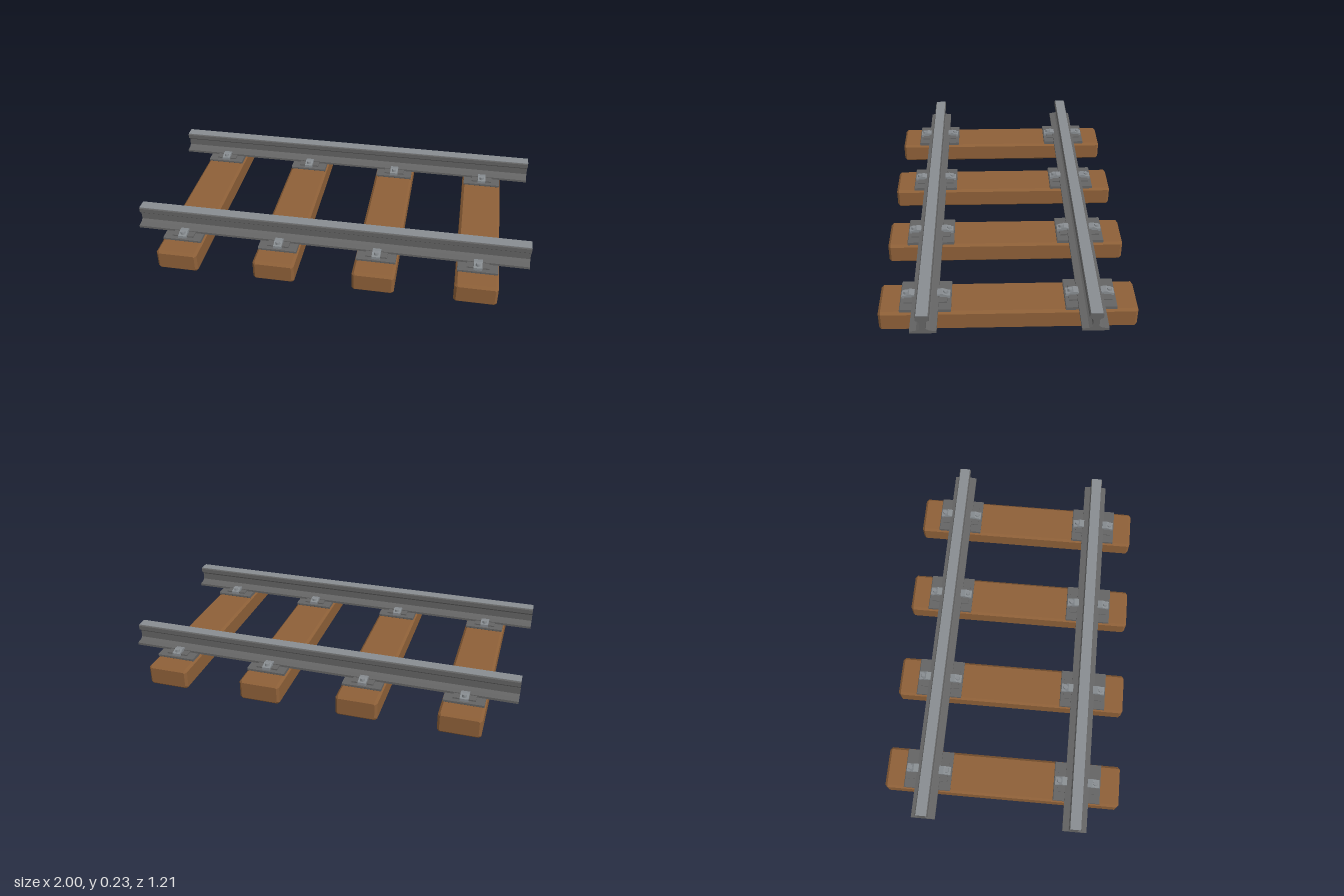
import * as THREE from 'three';

const mat = (name, color) => new THREE.MeshStandardMaterial({ name, color });

// Extrude a closed (z, y) outline along x, centred on x = 0
function extrudeAlongX(points, length, bevel = 0) {
  const shape = new THREE.Shape(points.map(([z, y]) => new THREE.Vector2(-z, y)));
  const geo = new THREE.ExtrudeGeometry(shape, {
    depth: length - 2 * bevel, steps: 1, bevelEnabled: bevel > 0,
    bevelThickness: bevel, bevelSize: bevel, bevelOffset: -bevel, bevelSegments: 1,
  });
  geo.translate(0, 0, bevel - length / 2);
  return geo.rotateY(Math.PI / 2);
}

// Rectangle outline with cut corners
function cutRect(halfW, y0, y1, c) {
  return [
    [-halfW + c, y0], [halfW - c, y0], [halfW, y0 + c], [halfW, y1 - c],
    [halfW - c, y1], [-halfW + c, y1], [-halfW, y1 - c], [-halfW, y0 + c],
  ];
}

export function createModel() {
  const wood = mat('wood', 0x8e6038);
  const steel = mat('dark steel', 0x646464);
  const polished = mat('polished steel', 0x888d91);

  const model = new THREE.Group();
  model.name = 'railwayTrack';
  const add = (parent, name, geo, material, x = 0, y = 0, z = 0) => {
    const mesh = new THREE.Mesh(geo, material);
    mesh.name = name;
    mesh.position.set(x, y, z);
    parent.add(mesh);
    return mesh;
  };

  const sleeperX = [-0.75, -0.25, 0.25, 0.75];
  const railZ = 0.385;

  // Chamfered wooden sleepers, running along z
  const sleeperGeo = extrudeAlongX(cutRect(0.105, 0, 0.11, 0.012), 1.21, 0.012).rotateY(Math.PI / 2);
  sleeperX.forEach((x) => add(model, 'sleeper', sleeperGeo, wood, x));

  // Rail section: foot, web and head (right half, mirrored)
  const half = [
    [0.061, 0.124], [0.061, 0.136], [0.03, 0.141], [0.0145, 0.15], [0.0145, 0.186],
    [0.019, 0.194], [0.031, 0.2], [0.031, 0.222], [0.027, 0.227],
  ];
  const section = [...half, ...half.map(([z, y]) => [-z, y]).reverse()];
  const railGeo = extrudeAlongX(section, 2);
  const treadGeo = new THREE.BoxGeometry(2, 0.002, 0.054);

  // Fastening parts
  const plateGeo = extrudeAlongX(cutRect(0.12, 0.109, 0.125, 0.003), 0.198);
  const shoulderGeo = new THREE.BoxGeometry(0.11, 0.008, 0.04);
  const clipGeo = extrudeAlongX([
    [0.053, 0.138], [0.066, 0.136], [0.066, 0.125], [0.114, 0.125],
    [0.114, 0.139], [0.094, 0.142], [0.078, 0.15], [0.053, 0.146],
  ], 0.042);
  const boltGeo = new THREE.CylinderGeometry(0.011, 0.013, 0.018, 12);

  for (const side of [1, -1]) {
    const track = new THREE.Group();
    track.name = side > 0 ? 'frontRail' : 'backRail';
    track.position.z = side * railZ;
    model.add(track);
    add(track, 'railBody', railGeo, steel);
    add(track, 'railTread', treadGeo, polished, 0, 0.228, 0);

    for (const x of sleeperX) {
      add(track, 'basePlate', plateGeo, steel, x);
      // One clip and bolt on each edge of the rail foot
      for (const turn of [0, Math.PI]) {
        const fastener = new THREE.Group();
        fastener.name = 'fastener';
        fastener.position.x = x;
        fastener.rotation.y = turn;
        track.add(fastener);
        add(fastener, 'plateShoulder', shoulderGeo, steel, 0, 0.128, 0.081);
        add(fastener, 'railClip', clipGeo, polished);
        add(fastener, 'bolt', boltGeo, polished, 0, 0.145, 0.093);
      }
    }
  }
  return model;
}
